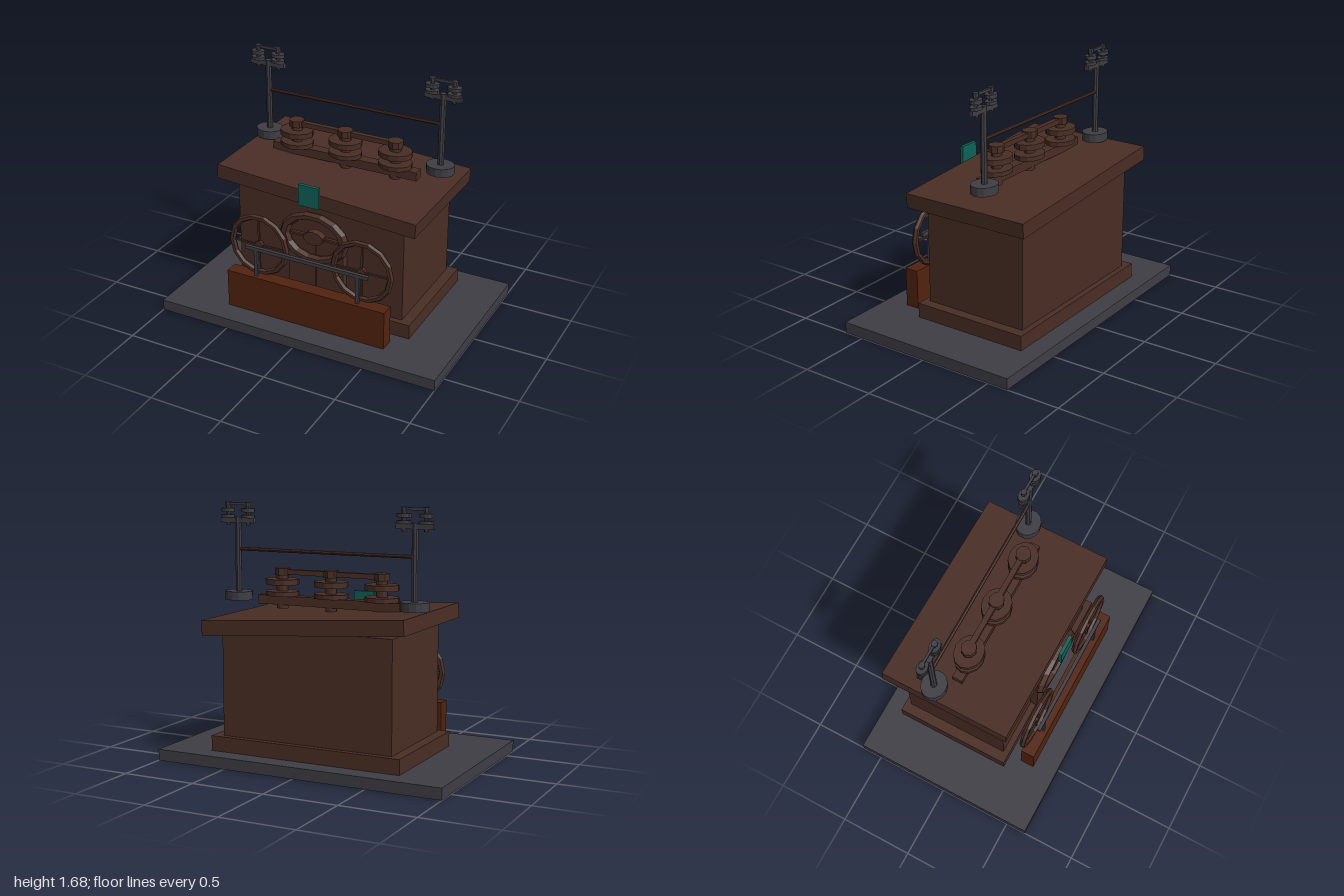
import * as THREE from 'three';

export function createModel() {
  const model = new THREE.Group();
  const mat = (name, color) => {
    const m = new THREE.MeshStandardMaterial({ color, flatShading: true });
    m.name = name;
    return m;
  };
  const brown = mat('dark brown', 0x4a2e25);
  const charcoal = mat('charcoal', 0x3f3e45);
  const rust = mat('rust', 0x52230f);
  const teal = mat('teal', 0x0f6359);

  const add = (parent, name, geo, material, x, y, z) => {
    const mesh = new THREE.Mesh(geo, material);
    mesh.name = name;
    mesh.position.set(x, y, z);
    parent.add(mesh);
    return mesh;
  };
  // Box given by its extents on each axis
  const box = (parent, name, material, x0, x1, y0, y1, z0, z1) =>
    add(parent, name, new THREE.BoxGeometry(x1 - x0, y1 - y0, z1 - z0), material,
      (x0 + x1) / 2, (y0 + y1) / 2, (z0 + z1) / 2);
  // Upright disc, slightly narrower in depth
  const disc = (parent, name, material, r, y0, y1, x, z, depth = 0.83, sides = 12) => {
    const geo = new THREE.CylinderGeometry(r, r, y1 - y0, sides);
    geo.scale(1, 1, depth);
    return add(parent, name, geo, material, x, (y0 + y1) / 2, z);
  };

  // Ground slab, plinth, cabin and doors
  box(model, 'groundSlab', charcoal, -1, 1, 0, 0.075, -0.64, 0.64);
  box(model, 'plinth', brown, -0.67, 0.67, 0.075, 0.175, -0.51, 0.3);
  box(model, 'cabin', brown, -0.6, 0.6, 0.175, 0.9, -0.47, 0.26);
  for (const s of [-1, 1]) {
    box(model, 'door', brown, s > 0 ? 0.003 : -0.2, s > 0 ? 0.2 : -0.003, 0.19, 0.64, 0.26, 0.31);
  }

  // Tilted roof
  const roof = box(model, 'roof', brown, -0.71, 0.71, 0.887, 0.985, -0.55, 0.34);
  roof.rotation.z = -0.067;

  // Stacked insulators on the roof
  const stack = new THREE.Group();
  stack.name = 'roofInsulators';
  model.add(stack);
  const sz = -0.105;
  box(stack, 'insulatorBar', brown, -0.525, 0.525, 1.01, 1.07, sz - 0.035, sz + 0.035);
  box(stack, 'topBar', brown, -0.37, 0.37, 1.21, 1.243, sz - 0.018, sz + 0.018);
  for (const x of [-0.36, 0, 0.36]) {
    disc(stack, 'insulatorCore', brown, 0.04, 0.985, 1.21, x, sz);
    disc(stack, 'lowerDisc', brown, 0.115, 1.07, 1.1, x, sz);
    disc(stack, 'upperDisc', brown, 0.115, 1.143, 1.18, x, sz);
    disc(stack, 'insulatorCap', brown, 0.053, 1.205, 1.25, x, sz, 0.95, 8);
  }

  // Poles with paired insulators
  const pz = -0.21;
  for (const s of [-1, 1]) {
    const pole = new THREE.Group();
    pole.name = s > 0 ? 'leftPole' : 'rightPole';
    pole.position.set(s * 0.63, 0, pz);
    model.add(pole);
    disc(pole, 'poleFoot', charcoal, 0.095, 1.04, 1.097, 0, 0, 0.87, 14);
    disc(pole, 'poleShaft', charcoal, 0.022, 1.09, 1.585, 0, 0, 0.9, 8);
    box(pole, 'crossBar', charcoal, -0.125, 0.125, 1.545, 1.578, -0.014, 0.014);
    box(pole, 'poleTopBar', charcoal, -0.085, 0.085, 1.66, 1.677, -0.008, 0.008);
    for (const x of [-0.075, 0.075]) {
      disc(pole, 'smallCore', charcoal, 0.016, 1.53, 1.665, x, 0, 0.85, 8);
      disc(pole, 'smallLowerDisc', charcoal, 0.048, 1.578, 1.597, x, 0, 0.72);
      disc(pole, 'smallUpperDisc', charcoal, 0.048, 1.616, 1.64, x, 0, 0.72);
      disc(pole, 'smallCap', charcoal, 0.022, 1.656, 1.68, x, 0, 0.85, 8);
    }
  }
  const rod = add(model, 'poleRod', new THREE.CylinderGeometry(0.012, 0.012, 1.24, 8), brown, 0, 1.375, pz);
  rod.rotation.z = Math.PI / 2;

  // Large side wheels with thin spokes
  for (const x of [-0.375, 0.375]) {
    const wheel = new THREE.Group();
    wheel.name = x > 0 ? 'leftWheel' : 'rightWheel';
    wheel.position.set(x, 0.545, 0.393);
    model.add(wheel);
    add(wheel, 'wheelRim', new THREE.TorusGeometry(0.202, 0.021, 6, 14), brown, 0, 0, 0);
    box(wheel, 'uprightSpoke', brown, -0.006, 0.006, -0.2, 0.2, -0.006, 0.006);
    box(wheel, 'levelSpoke', brown, -0.2, 0.2, -0.006, 0.006, -0.006, 0.006);
    const hub = disc(wheel, 'wheelHub', brown, 0.03, -0.015, 0.015, 0, 0, 1, 8);
    hub.rotation.x = Math.PI / 2;
  }

  // Oval centre ring and its boss
  const ring = new THREE.Group();
  ring.name = 'centreRing';
  ring.position.set(0, 0.66, 0.328);
  model.add(ring);
  const ringGeo = new THREE.TorusGeometry(0.215, 0.036, 6, 14);
  ringGeo.scale(1, 0.725, 0.95);
  add(ring, 'ringRim', ringGeo, brown, 0, 0, 0);
  const bossGeo = new THREE.CylinderGeometry(0.07, 0.07, 0.05, 10);
  bossGeo.rotateX(Math.PI / 2);
  bossGeo.scale(1, 0.7, 1);
  add(ring, 'ringBoss', bossGeo, brown, 0, 0, -0.005);
  box(ring, 'ringSpoke', brown, -0.2, 0.2, -0.007, 0.007, -0.01, 0.005);

  // Counter with its hand rail
  box(model, 'counter', rust, -0.575, 0.575, 0.075, 0.342, 0.385, 0.48);
  box(model, 'handRail', charcoal, -0.445, 0.445, 0.53, 0.555, 0.433, 0.457);
  for (const x of [-0.37, 0.37]) {
    box(model, 'railPost', charcoal, x - 0.012, x + 0.012, 0.34, 0.535, 0.435, 0.455);
  }

  // Floating sign plate
  box(model, 'signPlate', teal, -0.073, 0.073, 0.915, 1.062, 0.38, 0.403);

  return model;
}
